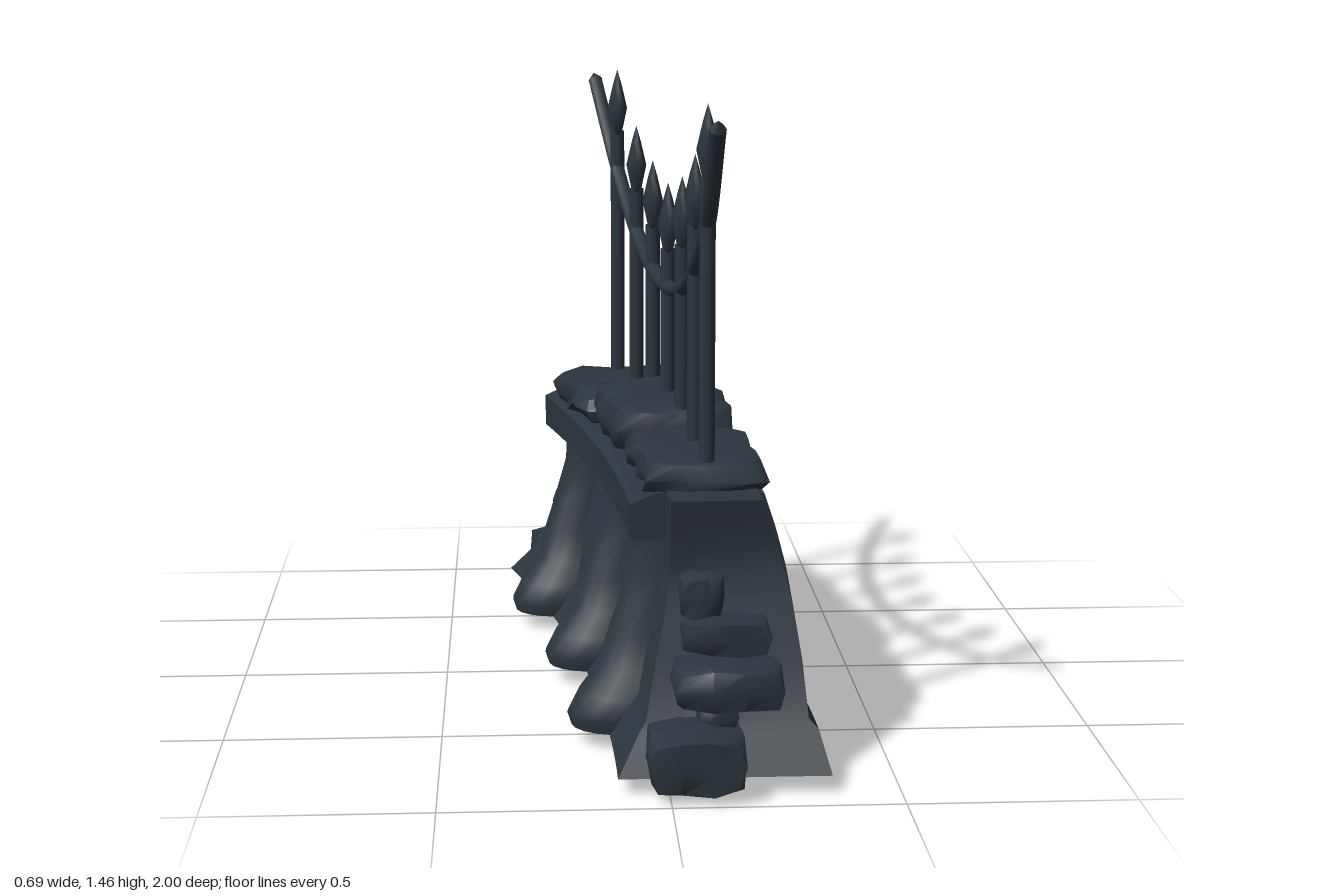
import * as THREE from 'three';
import { mergeVertices, toCreasedNormals } from 'three/addons/utils/BufferGeometryUtils.js';

// Centre line of the bent wall: x as a function of z
const spine = (z) => 0.113 - 0.07 * (z - 0.92) ** 2;

// Straight (offset, y, z) space to the bent wall
function place(off, y, z) {
  const slope = -0.14 * (z - 0.92);
  const len = Math.hypot(1, slope);
  return [spine(z) + off / len, y, z - (off * slope) / len];
}

function seeded(seed) {
  let s = seed * 7919 + 17;
  return () => {
    s = (s * 16807) % 2147483647;
    return s / 2147483647 - 0.5;
  };
}

// Move every vertex by a rule, then bend it along the wall
function deform(geo, rule, crease) {
  geo.deleteAttribute('normal');
  geo.deleteAttribute('uv');
  geo.clearGroups();
  const g = mergeVertices(geo);
  const p = g.attributes.position;
  for (let i = 0; i < p.count; i++) {
    p.setXYZ(i, ...place(...rule(p.getX(i), p.getY(i), p.getZ(i))));
  }
  return toCreasedNormals(g, crease);
}

// Rows of [y, inner offset, outer offset, z min, z max]; hollow leaves the underside open
function rowSolid(rows, zSegments, hollow = false) {
  const n = rows.length - 1;
  const box = new THREE.BoxGeometry(1, 1, 1, 2, n, zSegments);
  if (hollow) {
    const { start, count } = box.groups[3];
    box.setIndex([...box.index.array].filter((_, i) => i < start || i >= start + count));
  }
  return deform(box, (x, y, z) => {
    const [h, a, b, z0, z1] = rows[Math.round((y + 0.5) * n)];
    return [a + (b - a) * (x + 0.5), h, z0 + (z1 - z0) * (z + 0.5)];
  }, 0.8);
}

// Weathered, rounded stone filling [off0, off1] x [y0, y1] x [z0, z1]
function stone([a, b], [y0, y1], [z0, z1], seed, segs = [3, 2, 3], rough = 0.08) {
  const rnd = seeded(seed);
  const box = new THREE.BoxGeometry(1, 1, 1, ...segs);
  return deform(box, (x, y, z) => {
    const edge = (v) => Math.abs(v) > 0.49;
    const edges = edge(x) + edge(y) + edge(z);
    const pull = [1, 1, 0.93, 0.85][edges];
    const w = Math.min(b - a, z1 - z0) * rough;
    return [
      (a + b) / 2 + x * pull * (b - a) + rnd() * w,
      (y0 + y1) / 2 + y * [1, 1, 0.86, 0.74][edges] * (y1 - y0) + rnd() * (y1 - y0) * 0.12,
      (z0 + z1) / 2 + z * pull * (z1 - z0) + rnd() * w,
    ];
  }, 1.15);
}

// Wall section: [y, inner, outer, half length]
const WALL = [
  [0.03, -0.225, 0.238, 0.92],
  [0.11, -0.175, 0.216, 0.845],
  [0.13, -0.16, 0.196, 0.83],
  [0.25, -0.135, 0.186, 0.785],
  [0.37, -0.11, 0.168, 0.75],
  [0.45, -0.1, 0.149, 0.725],
  [0.52, -0.1, 0.129, 0.735],
  [0.6, -0.1, 0.102, 0.75],
];

function outerAt(y) {
  const i = Math.max(1, WALL.findIndex((r) => r[0] >= y));
  const [p, q] = [WALL[i - 1], WALL[i]];
  return p[2] + ((q[2] - p[2]) * (y - p[0])) / (q[0] - p[0]);
}

export function createModel() {
  const model = new THREE.Group();
  const slate = new THREE.MeshStandardMaterial({ color: 0x2c363f, side: THREE.DoubleSide });
  slate.name = 'dark slate';
  const add = (name, geo, parent = model) => {
    const mesh = new THREE.Mesh(geo, slate);
    mesh.name = name;
    parent.add(mesh);
    return mesh;
  };

  // Hollow wall body with flared foot and ends
  add('wall', rowSolid(WALL.map(([y, a, b, e]) => [y, a, b, -e, e]), 28, true));

  // Raised corner piers leaving a shallow arch on the outer face
  const arch = [[0.13, 0.46], [0.22, 0.457], [0.32, 0.435], [0.42, 0.39],
    [0.5, 0.33], [0.53, 0.28], [0.55, 0.235], [0.595, 0.225]];
  for (const side of [1, -1]) {
    const rows = arch.map(([y, z]) => {
      const far = 0.625 + (y - 0.12) * 0.08;
      const o = outerAt(y);
      return [y, o - 0.01, o + 0.012, side > 0 ? z : -far, side > 0 ? far : -z];
    });
    add('archPier', rowSolid(rows, 6));
  }

  // Ledge along the inner face
  add('innerLedge', rowSolid([
    [0.49, -0.18, -0.09, -0.68, 0.64],
    [0.57, -0.182, -0.09, -0.68, 0.64],
    [0.595, -0.12, -0.09, -0.68, 0.64],
  ], 16));

  // Swelling half-round buttresses: [y, reach, half width]
  const column = [[0.03, 0.305, 0.1], [0.06, 0.315, 0.11], [0.11, 0.29, 0.108],
    [0.17, 0.245, 0.085], [0.25, 0.222, 0.073], [0.33, 0.195, 0.07],
    [0.4, 0.172, 0.075], [0.45, 0.168, 0.088], [0.5, 0.168, 0.09]];
  for (const cz of [-0.49, 0.02, 0.52]) {
    const n = column.length - 1;
    const half = new THREE.CylinderGeometry(1, 1, 1, 10, n, true, Math.PI, Math.PI);
    add('buttress', deform(half, (x, y, z) => {
      const [h, reach, w] = column[Math.round((y + 0.5) * n)];
      return [w + 0.03 - reach + x * (w + 0.03), h, cz + z * w];
    }, 0.9));
  }

  // Worn cap slabs
  add('capSlab', stone([-0.15, 0.13], [0.58, 0.66], [0.2, 0.66], 3, [4, 2, 6]));
  add('capSlab', stone([-0.18, 0.155], [0.58, 0.655], [-0.65, -0.17], 8, [4, 2, 6]));
  add('capSlab', stone([-0.165, 0.13], [0.585, 0.705], [-0.22, 0.26], 5, [4, 2, 6]));

  // Fallen stones stacked against both ends: offset, y, z ranges
  const stack = [
    [[-0.16, 0.05], [0.0, 0.14], [0.76, 1.0]],
    [[-0.05, 0.04], [0.11, 0.18], [0.74, 0.88]],
    [[-0.105, 0.135], [0.165, 0.265], [0.72, 0.93]],
    [[-0.08, 0.115], [0.27, 0.35], [0.68, 0.845]],
    [[-0.085, 0.015], [0.335, 0.44], [0.66, 0.8]],
  ];
  stack.forEach(([o, y, z], i) => {
    add('frontRubble', stone(o, y, z, 20 + i));
    add('backRubble', stone(o, y, [-z[1], -z[0]], 40 + i));
  });

  // Spear pickets with flattened heads
  const fence = new THREE.Group();
  fence.name = 'fence';
  model.add(fence);
  const head = new THREE.LatheGeometry(
    [[0, -0.17], [0.018, -0.17], [0.024, -0.155], [0.044, -0.1], [0.02, -0.04], [0, 0]]
      .map(([r, y]) => new THREE.Vector2(r, y)), 8);
  const pickets = [[0.6, 1.45], [0.39, 1.32], [0.2, 1.25], [0.01, 1.215],
    [-0.18, 1.25], [-0.37, 1.32], [-0.575, 1.45]];
  for (const [z, tip] of pickets) {
    const picket = new THREE.Group();
    picket.name = 'picket';
    picket.position.set(spine(z) - 0.006, 0, z);
    fence.add(picket);
    const length = tip - 0.16 - 0.6;
    add('shaft', new THREE.CylinderGeometry(0.018, 0.018, length, 8), picket)
      .position.y = 0.6 + length / 2;
    const point = add('spearHead', head, picket);
    point.position.y = tip;
    point.scale.x = 0.58;
  }

  // Sagging rail with tapered tips
  const sag = [[0.79, 1.41], [0.6, 1.19], [0.39, 1.055], [0.2, 0.985], [0.01, 0.96],
    [-0.18, 0.98], [-0.37, 1.05], [-0.575, 1.19], [-0.765, 1.41]]
    .map(([z, y]) => new THREE.Vector3(spine(z) - (z < -0.7 ? 0.015 : 0.006), y, z));
  const curve = new THREE.CatmullRomCurve3(sag);
  add('rail', new THREE.TubeGeometry(curve, 40, 0.019, 8), fence);
  for (const t of [0, 1]) {
    const dir = curve.getTangent(t).multiplyScalar(t ? 1 : -1);
    const tip = add('railTip', new THREE.ConeGeometry(0.019, 0.025, 8), fence);
    tip.quaternion.setFromUnitVectors(new THREE.Vector3(0, 1, 0), dir);
    tip.position.copy(curve.getPoint(t)).addScaledVector(dir, 0.0125);
  }
  return model;
}
